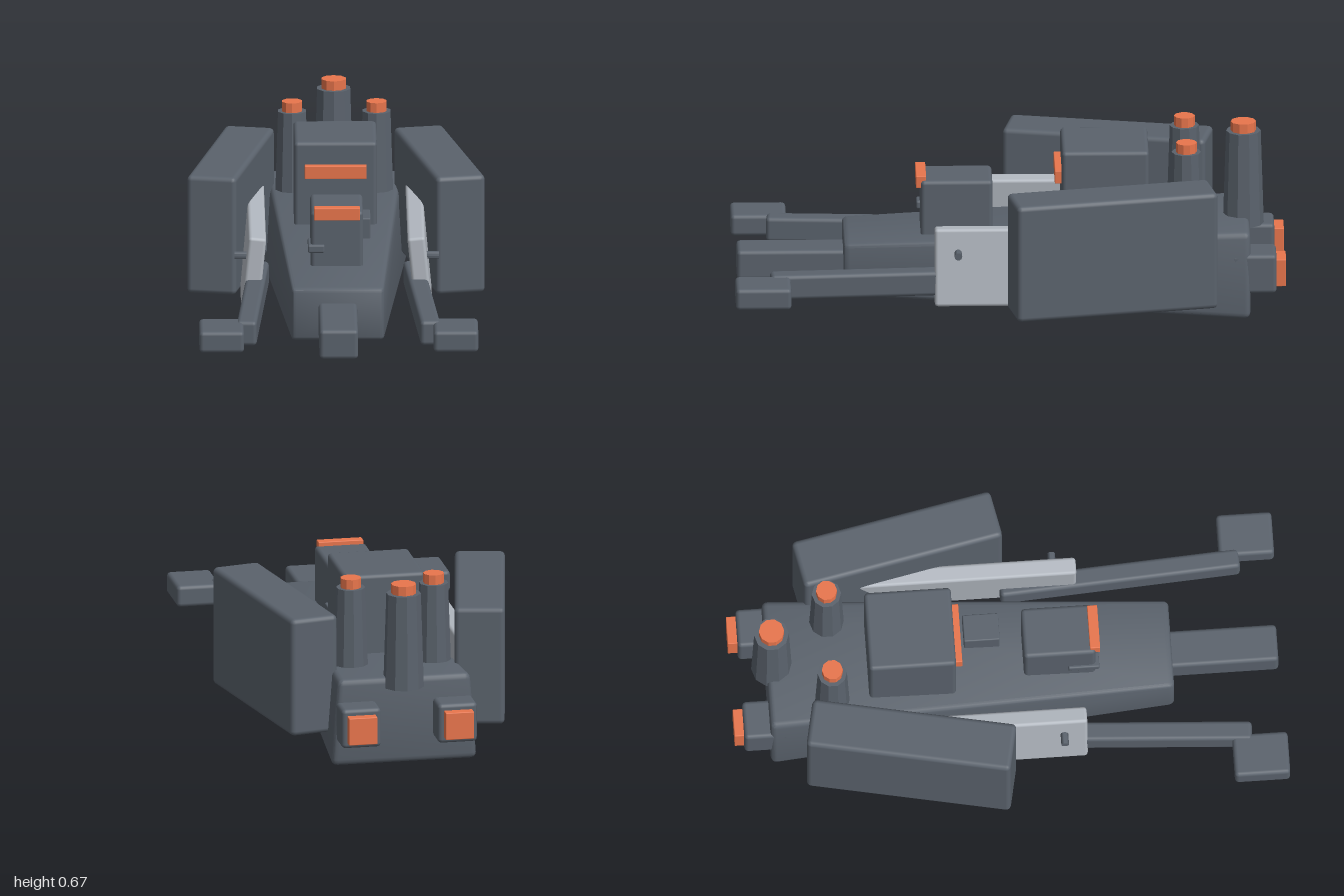
import * as THREE from 'three';
import { RoundedBoxGeometry } from 'three/addons/geometries/RoundedBoxGeometry.js';
import { toCreasedNormals } from 'three/addons/utils/BufferGeometryUtils.js';

const slate = new THREE.MeshStandardMaterial({ color: 0x5a626c });
const orange = new THREE.MeshStandardMaterial({ color: 0xe8754c });
const pale = new THREE.MeshStandardMaterial({ color: 0xb2b8c0 });
const lerp = THREE.MathUtils.lerp;

export function createModel() {
  const model = new THREE.Group();

  function add(name, geometry, material, x, y, z, parent = model) {
    const mesh = new THREE.Mesh(geometry, material);
    mesh.name = name;
    mesh.position.set(x, y, z);
    parent.add(mesh);
    return mesh;
  }

  // Softly bevelled box given by its [min, max] range on each axis
  function block(name, material, [x0, x1], [y0, y1], [z0, z1], radius = 0.015) {
    const geometry = new RoundedBoxGeometry(x1 - x0, y1 - y0, z1 - z0, 2, radius);
    return add(name, geometry, material, (x0 + x1) / 2, (y0 + y1) / 2, (z0 + z1) / 2);
  }

  // Hull: bevelled box tapering towards the bow
  const length = 1.47;
  let hull = new RoundedBoxGeometry(0.5, 0.3, length, 2, 0.022);
  const p = hull.attributes.position;
  for (let i = 0; i < p.count; i++) {
    const t = p.getZ(i) / length + 0.5; // 0 stern, 1 bow
    const v = p.getY(i) / 0.3 + 0.5; // 0 bottom, 1 top
    const halfWidth = lerp(lerp(0.27, 0.245, v), 0.167, t);
    const bottom = lerp(0, 0.07, t);
    const top = lerp(0.325, 0.265, t);
    p.setXYZ(i, (p.getX(i) / 0.25) * halfWidth, lerp(bottom, top, v), p.getZ(i));
  }
  hull = toCreasedNormals(hull, 0.5);
  add('hull', hull, slate, 0, 0, -0.135);

  // Bow beam
  block('bowBeam', slate, [-0.07, 0.07], [0.1, 0.21], [0.5, 0.985]);

  // Superstructure, forward cabin and their window bands
  block('tower', slate, [-0.15, 0.15], [0.28, 0.605], [-0.505, -0.19]);
  block('towerWindow', orange, [-0.112, 0.112], [0.473, 0.522], [-0.21, -0.165], 0.003);
  block('cabin', slate, [-0.095, 0.095], [0.26, 0.48], [0.06, 0.32]);
  block('cabinWindow', orange, [-0.083, 0.083], [0.45, 0.496], [0.3, 0.337], 0.003);
  block('cabinGun', slate, [-0.105, -0.045], [0.328, 0.357], [0.22, 0.333], 0.006);
  block('deckHatch', slate, [0.022, 0.125], [0.27, 0.365], [-0.15, -0.02], 0.005);

  // Chimneys with glowing caps
  function chimney(name, x, z, bottom, top, radius, capRadius, capHeight) {
    const stack = new THREE.CylinderGeometry(radius, radius + 0.011, top - bottom, 10);
    const cap = new THREE.CylinderGeometry(capRadius, capRadius, capHeight + 0.02, 10);
    add(name, toCreasedNormals(stack, 0.4), slate, x, (top + bottom) / 2, z);
    add(name + 'Cap', toCreasedNormals(cap, 0.4), orange, x, top + capHeight / 2 - 0.01, z);
  }
  chimney('mainChimney', 0, -0.85, 0.285, 0.636, 0.063, 0.046, 0.035);

  for (const [side, s] of [['left', 1], ['right', -1]]) {
    const span = (a, b) => (s > 0 ? [a, b] : [-b, -a]);

    chimney(side + 'Chimney', s * 0.153, -0.64, 0.28, 0.606, 0.053, 0.038, 0.036);

    // Large side pod, splayed outwards at the front
    const pod = new RoundedBoxGeometry(0.182, 0.44, 0.745, 2, 0.018);
    add(side + 'Pod', pod, slate, s * 0.378, 0.305, -0.368).rotation.y = s * 0.2;

    // Leaning armour panel and its stud
    const panel = new RoundedBoxGeometry(0.064, 0.288, 0.935, 2, 0.012);
    add(side + 'Panel', panel, pale, s * 0.301, 0.225, -0.193).rotation.z = s * 0.1;
    const stud = new THREE.CylinderGeometry(0.014, 0.014, 0.08, 10);
    add(side + 'Stud', toCreasedNormals(stud, 0.7), slate, s * 0.33, 0.283, 0.19).rotation.z = Math.PI / 2;

    // Forward arm ending in a pad
    const arm = new RoundedBoxGeometry(0.073, 0.092, 0.875, 2, 0.015);
    add(side + 'Arm', arm, slate, s * 0.306, 0.167, 0.433).rotation.y = s * 0.062;
    block(side + 'Pad', slate, span(0.343, 0.505), [0.128, 0.208], [0.797, 0.998]);

    // Stern engine with nozzle
    block(side + 'Engine', slate, span(0.105, 0.25), [0.093, 0.24], [-0.965, -0.8]);
    block(side + 'Nozzle', orange, span(0.126, 0.231), [0.115, 0.217], [-1, -0.94], 0.003);
  }
  return model;
}
